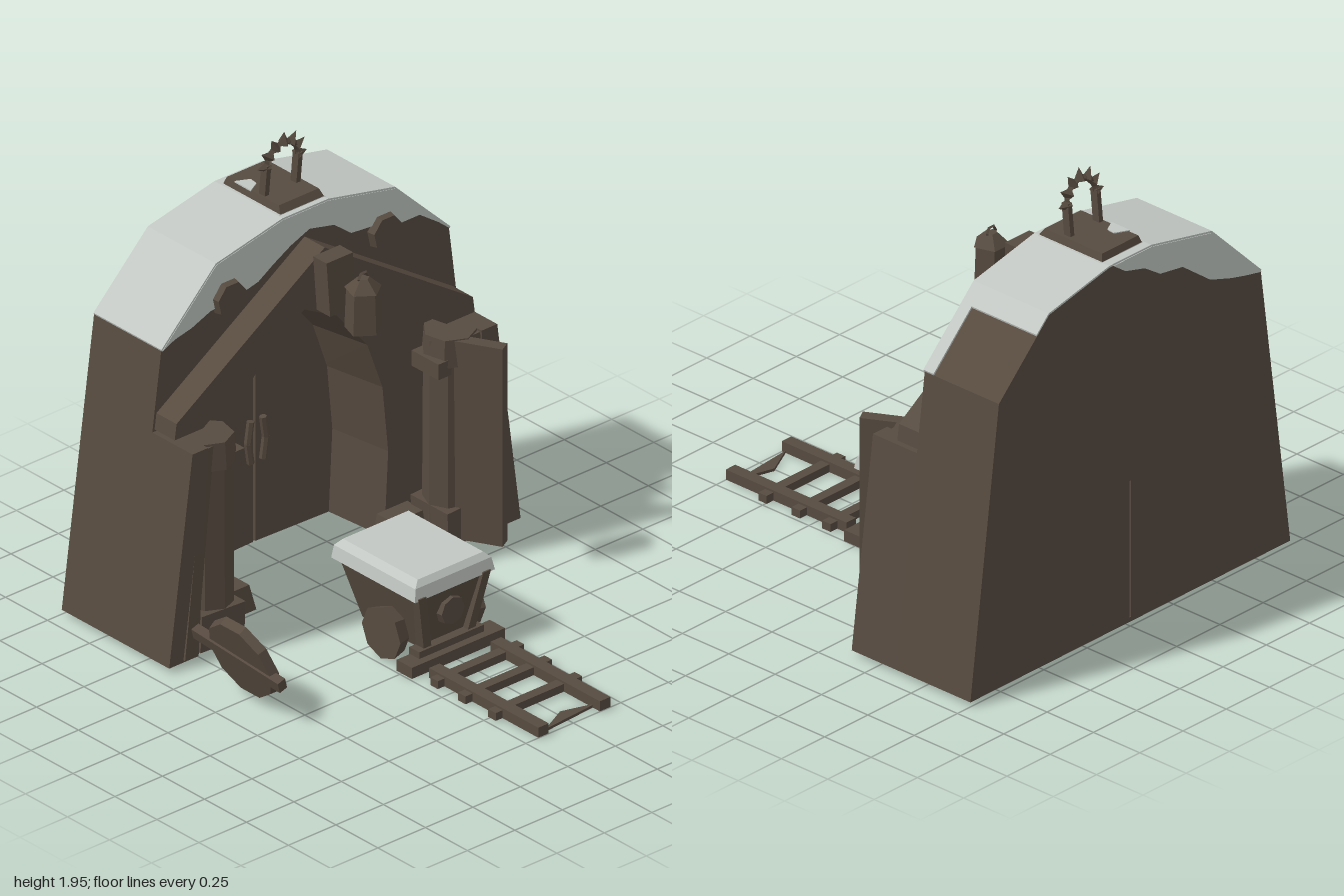
import * as THREE from 'three';

const wood = new THREE.MeshStandardMaterial({ color: 0x574b40 });
wood.name = 'darkWood';
const snow = new THREE.MeshStandardMaterial({ color: 0xc2c7c3 });
snow.name = 'snow';

export function createModel() {
  const root = new THREE.Group();

  // Faceted mesh with flat normals
  const add = (name, geo, mat = wood, parent = root) => {
    const g = geo.index ? geo.toNonIndexed() : geo;
    g.computeVertexNormals();
    const m = new THREE.Mesh(g, mat);
    m.name = name;
    parent.add(m);
    return m;
  };
  const box = (name, w, h, d, x, y, z, parent = root) => {
    const m = add(name, new THREE.BoxGeometry(w, h, d), wood, parent);
    m.position.set(x, y, z);
    return m;
  };
  // Block between two rectangles [x0, x1, z0, z1, y]
  const taper = (name, bottom, top, mat = wood, parent = root) => {
    const g = new THREE.BoxGeometry(1, 1, 1);
    const p = g.attributes.position;
    for (let i = 0; i < p.count; i++) {
      const r = p.getY(i) > 0 ? top : bottom;
      p.setXYZ(i, p.getX(i) > 0 ? r[1] : r[0], r[4], p.getZ(i) > 0 ? r[3] : r[2]);
    }
    return add(name, g, mat, parent);
  };
  const vec = (pts) => pts.map(([x, y]) => new THREE.Vector2(x, y));
  const slab = (name, pts, z0, z1, mat = wood, hole = null) => {
    const s = new THREE.Shape(vec(pts));
    if (hole) s.holes.push(new THREE.Path(vec(hole)));
    const g = new THREE.ExtrudeGeometry(s, { depth: z1 - z0, bevelEnabled: false });
    g.translate(0, 0, z0);
    return add(name, g, mat);
  };
  const cyl = (name, r0, r1, h, n, x, y, z, parent = root) => {
    const m = add(name, new THREE.CylinderGeometry(r0, r1, h, n), wood, parent);
    m.position.set(x, y, z);
    return m;
  };
  const sides = (f) => [1, -1].forEach(f);
  const flip = (s, r) => (s > 0 ? r : [-r[1], -r[0], ...r.slice(2)]);

  // Hill: a back wall with a narrow slit, and a deep arched passage in front of it
  const roof = [[0.76, 1.29], [0.47, 1.575], [0.12, 1.65], [-0.12, 1.65], [-0.47, 1.575], [-0.755, 1.29]];
  const half = [[0.42, 0.02], [0.44, 0.4], [0.41, 0.7], [0.33, 0.92], [0.17, 1.11], [0, 1.2]];
  const mirrored = half.slice(0, -1).map(([x, y]) => [-x, y]);
  slab('hillBack', [[-0.925, 0.02], [0.925, 0.02], ...roof], -1, -0.92, wood,
    [[-0.005, 0.04], [0.005, 0.04], [0.005, 0.65], [-0.005, 0.65]]);
  const front = slab('hillFront',
    [[-0.925, 0.02], ...mirrored, ...half.slice().reverse(), [0.925, 0.02], ...roof], -0.92, -0.6);
  // The passage narrows towards the doors
  const p = front.geometry.attributes.position;
  for (let i = 0; i < p.count; i++) {
    if (p.getZ(i) < -0.9 && Math.abs(p.getX(i)) < 0.45 && p.getY(i) < 1.25) {
      p.setX(i, p.getX(i) * 0.93);
      if (p.getY(i) > 0.1) p.setY(i, p.getY(i) * 0.97);
    }
  }
  front.geometry.computeVertexNormals();

  // Snow on the roof, with ragged edges on the front and back
  const up = (pts) => pts.map(([x, y]) => [x * 1.004, y + 0.008]);
  const covered = [[0.54, 1.506], ...roof.slice(1)];
  slab('roofSnow', [...up(covered), ...covered.slice().reverse()], -1, -0.595, snow);
  const shoulder = [roof[0], [0.54, 1.506]];
  slab('roofSnowStrip', [...up(shoulder), ...shoulder.slice().reverse()], -0.65, -0.595, snow);
  slab('frontSnow', [...roof, [-0.69, 1.32], [-0.6, 1.34], [-0.5, 1.38], [-0.38, 1.39], [-0.25, 1.42],
    [-0.17, 1.47], [-0.08, 1.52], [0.02, 1.56], [0.15, 1.53], [0.24, 1.46], [0.36, 1.45], [0.48, 1.41],
    [0.6, 1.41], [0.7, 1.34]], -0.6, -0.593, snow);
  slab('backSnow', [[0.1, 1.65], ...roof.slice(3), [-0.66, 1.31], [-0.58, 1.33], [-0.46, 1.37], [-0.38, 1.43],
    [-0.3, 1.49], [-0.17, 1.51], [-0.08, 1.57], [0.03, 1.6]], -1.003, -0.998, snow);

  // Double doors with handles at the end of the passage
  sides((s) => {
    const leaf = [[0.006, 0.03], ...half.slice(0, -1), [0.006, 1.19]];
    slab('door', leaf.map(([x, y]) => [x * s, y]), -0.925, -0.9);
    cyl('doorHandle', 0.016, 0.016, 0.1, 6, s * 0.04, 0.54, -0.885).rotation.z = s * 0.15;
    cyl('doorHandle', 0.016, 0.016, 0.1, 6, s * 0.04, 0.45, -0.885).rotation.z = -s * 0.15;
  });

  // Stepped side walls, gable beams, pillars and footings
  sides((s) => {
    taper('sideWall', flip(s, [0.77, 0.925, -0.61, -0.36, 0.02]), flip(s, [0.72, 0.802, -0.61, -0.36, 0.94]));
    taper('leaningPlank', flip(s, [0.79, 0.85, -0.48, -0.35, 0.03]), flip(s, [0.68, 0.73, -0.52, -0.37, 0.93]));
    slab('gableBeam', [[0, 1.53], [0, 1.38], [s * 0.64, 0.95], [s * 0.79, 0.95], [s * 0.78, 1.02]], -0.6, -0.48);
    cyl('pillar', 0.105, 0.11, 0.88, 8, s * 0.64, 0.48, -0.46);
    cyl('pillarCap', 0.11, 0.12, 0.12, 7, s * 0.64, 0.88, -0.46);
    box('pillarBand', 0.27, 0.07, 0.16, s * 0.645, 0.82, -0.46);
    box('pillarBase', 0.23, 0.16, 0.22, s * 0.65, 0.11, -0.46).rotation.z = s * 0.05;
    taper('footing', flip(s, [0.36, 0.55, -0.6, -0.48, 0.03]), flip(s, [0.38, 0.54, -0.6, -0.5, 0.14]));
    const knob = cyl('beamEnd', 0.075, 0.085, 0.05, 7, s * 0.41, 1.41, -0.59);
    knob.rotation.x = Math.PI / 2;
  });
  box('pillarBoard', 0.055, 0.89, 0.25, 0.65, 0.49, -0.32).rotation.y = 0.5;

  // Bracket and hanging lantern
  taper('bracket', [-0.06, 0.06, -0.46, -0.38, 1.28], [-0.07, 0.07, -0.47, -0.39, 1.52]);
  cyl('lanternBody', 0.07, 0.077, 0.18, 5, 0, 1.35, -0.25);
  cyl('lanternRoof', 0.025, 0.078, 0.05, 5, 0, 1.465, -0.25);
  const ring = add('lanternRing', new THREE.TorusGeometry(0.025, 0.007, 4, 6));
  ring.position.set(0, 1.49, -0.25);

  // Rooftop base and spiked arch
  taper('roofBaseSnow', [-0.13, 0.14, -0.98, -0.61, 1.62], [-0.115, 0.125, -0.96, -0.62, 1.66], snow);
  taper('roofBase', [-0.11, 0.12, -0.96, -0.62, 1.66], [-0.1, 0.11, -0.95, -0.64, 1.69]);
  slab('roofBaseSnowPatch', [[-0.106, -0.8], [-0.05, -0.83], [-0.045, -0.87], [-0.105, -0.9]]
    .map(([x, z]) => [x, -z]), 1.688, 1.694, snow).rotation.x = -Math.PI / 2;
  const ornament = new THREE.Group();
  ornament.name = 'roofArch';
  ornament.position.set(0, 1.82, -0.735);
  ornament.rotation.x = 0.1;
  root.add(ornament);
  add('hoop', new THREE.TorusGeometry(0.083, 0.014, 4, 10, Math.PI), wood, ornament);
  sides((s) => box('hoopLeg', 0.022, 0.15, 0.035, s * 0.083, -0.065, 0, ornament));
  for (let i = 0; i < 7; i++) {
    const a = (i / 6) * Math.PI;
    const spike = cyl('spike', 0, 0.028, 0.055, 4, Math.cos(a) * 0.104, Math.sin(a) * 0.104, 0, ornament);
    spike.rotation.z = a - Math.PI / 2;
  }

  // Cart
  const cart = new THREE.Group();
  cart.name = 'cart';
  root.add(cart);
  taper('cartBin', [-0.12, 0.12, -0.12, 0.23, 0.06], [-0.19, 0.19, -0.18, 0.28, 0.33], wood, cart);
  taper('cartSnowRim', [-0.205, 0.215, -0.21, 0.29, 0.32], [-0.195, 0.205, -0.205, 0.28, 0.375], snow, cart);
  taper('cartSnowTop', [-0.195, 0.205, -0.205, 0.28, 0.375], [-0.165, 0.18, -0.185, 0.26, 0.4], snow, cart);
  sides((s) => {
    const wheel = cyl('cartWheel', 0.115, 0.1, 0.06, 8, s * 0.195, 0.118, 0.11, cart);
    wheel.rotation.z = -s * Math.PI / 2;
    taper('cartPost', flip(s, [0.09, 0.13, 0.21, 0.26, 0.05]), flip(s, [0.15, 0.19, 0.26, 0.295, 0.33]), wood, cart);
  });
  const boss = cyl('cartBoss', 0.06, 0.065, 0.04, 8, 0, 0.21, 0.265, cart);
  boss.rotation.x = Math.PI / 2;
  box('cartAxle', 0.36, 0.04, 0.04, 0, 0.1, 0.11, cart);
  box('cartBumper', 0.34, 0.04, 0.06, 0, 0.06, 0.245, cart);
  box('stopPlank', 0.49, 0.05, 0.09, 0.005, 0.025, 0.265);

  // Track
  sides((s) => box('rail', 0.055, 0.045, 0.65, 0.005 + s * 0.162, 0.024, 0.675));
  [0.42, 0.585, 0.765].forEach((z) => box('sleeper', 0.455, 0.035, 0.045, 0.007, 0.02, z));
  const wedge = slab('trackWedge', [[-0.13, -0.98], [0.16, -0.955], [0.01, -0.91]], 0, 0.012);
  wedge.rotation.x = -Math.PI / 2;

  // Round lid leaning to the side, with its bar
  const lid = new THREE.Group();
  lid.name = 'lid';
  lid.position.set(-0.87, 0.205, 0.02);
  lid.rotation.z = 0.32;
  root.add(lid);
  const disc = cyl('lidDisc', 0.18, 0.19, 0.04, 10, 0, 0, 0, lid);
  disc.rotation.z = Math.PI / 2;
  const bar = box('lidBar', 0.04, 0.05, 0.5, -0.01, 0, -0.015, lid);
  bar.rotation.x = 0.1;

  return root;
}
